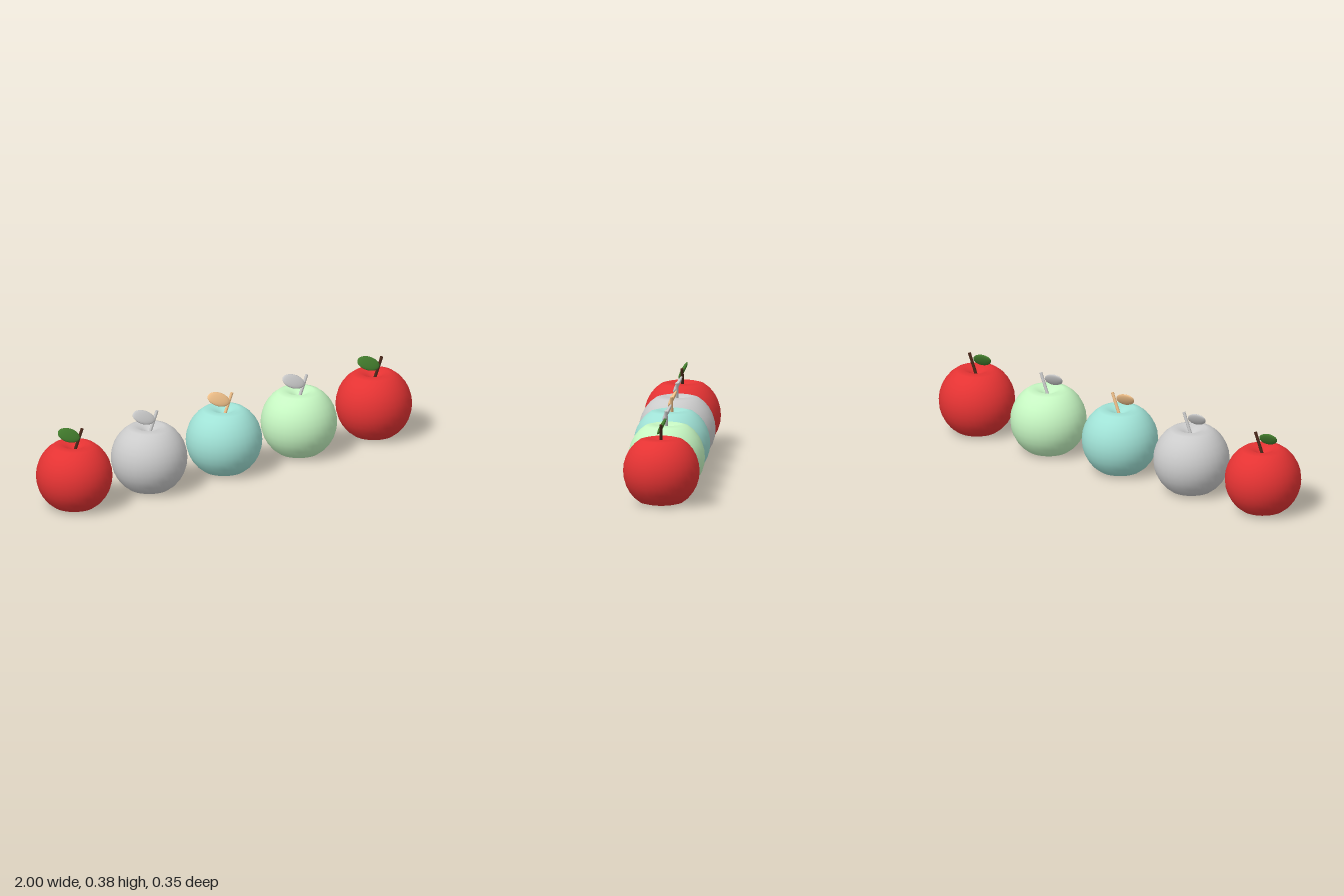
import * as THREE from 'three';

const R = 0.175, MID = 0.153;

// Round body with a soft dimple at both poles
function bodyGeometry() {
  const points = [];
  const steps = 16;
  for (let i = 0; i <= steps; i++) {
    const a = (i / steps) * Math.PI;
    const r = i === 0 || i === steps ? 0 : R * Math.sin(a);
    const dent = 0.056 * Math.exp(-(r * r) / 0.0026);
    const y = -R * Math.cos(a);
    points.push(new THREE.Vector2(r, MID + y - Math.sign(y) * dent));
  }
  return new THREE.LatheGeometry(points, 32);
}

// Thin ellipsoid with its poles at the two leaf tips
function leafGeometry() {
  return new THREE.SphereGeometry(1, 16, 12).rotateZ(Math.PI / 2).scale(0.058, 0.033, 0.009);
}

export function createModel() {
  const model = new THREE.Group();
  model.name = 'appleRow';
  const body = bodyGeometry();
  const leaf = leafGeometry();
  const base = new THREE.Vector3(0, 0.262, 0);
  const tip = new THREE.Vector3(0.044, 0.371, 0);
  const stem = new THREE.CylinderGeometry(0.007, 0.007, base.distanceTo(tip), 8);

  const materials = new Map();
  const material = (color) => {
    if (!materials.has(color)) materials.set(color, new THREE.MeshStandardMaterial({ color }));
    return materials.get(color);
  };

  // Body, stem and leaf colours, from the model's right to its left
  const colors = [
    [0xe53333, 0x4a2618, 0x447f2e],
    [0xcccccc, 0xcccccc, 0xcccccc],
    [0xa0e2d6, 0xf5c48c, 0xf5c48c],
    [0xc6f7c2, 0xcccccc, 0xcccccc],
    [0xe53333, 0x4a2618, 0x447f2e],
  ];

  colors.forEach(([bodyColor, stemColor, leafColor], i) => {
    const apple = new THREE.Group();
    apple.name = 'apple' + (i + 1);
    apple.position.x = (i - 2) * 0.4125;

    const add = (name, geometry, color) => {
      const mesh = new THREE.Mesh(geometry, material(color));
      mesh.name = name;
      apple.add(mesh);
      return mesh;
    };
    add('body', body, bodyColor);

    // Stem leans to the model's left
    const stemMesh = add('stem', stem, stemColor);
    stemMesh.position.copy(base).lerp(tip, 0.5);
    stemMesh.rotation.z = -Math.atan2(tip.x - base.x, tip.y - base.y);

    // Leaf rises away from the stem, its face tilted up
    const leafMesh = add('leaf', leaf, leafColor);
    leafMesh.position.set(-0.03, 0.353, 0);
    leafMesh.rotation.set(-0.5, 0, -0.4);

    model.add(apple);
  });
  return model;
}
